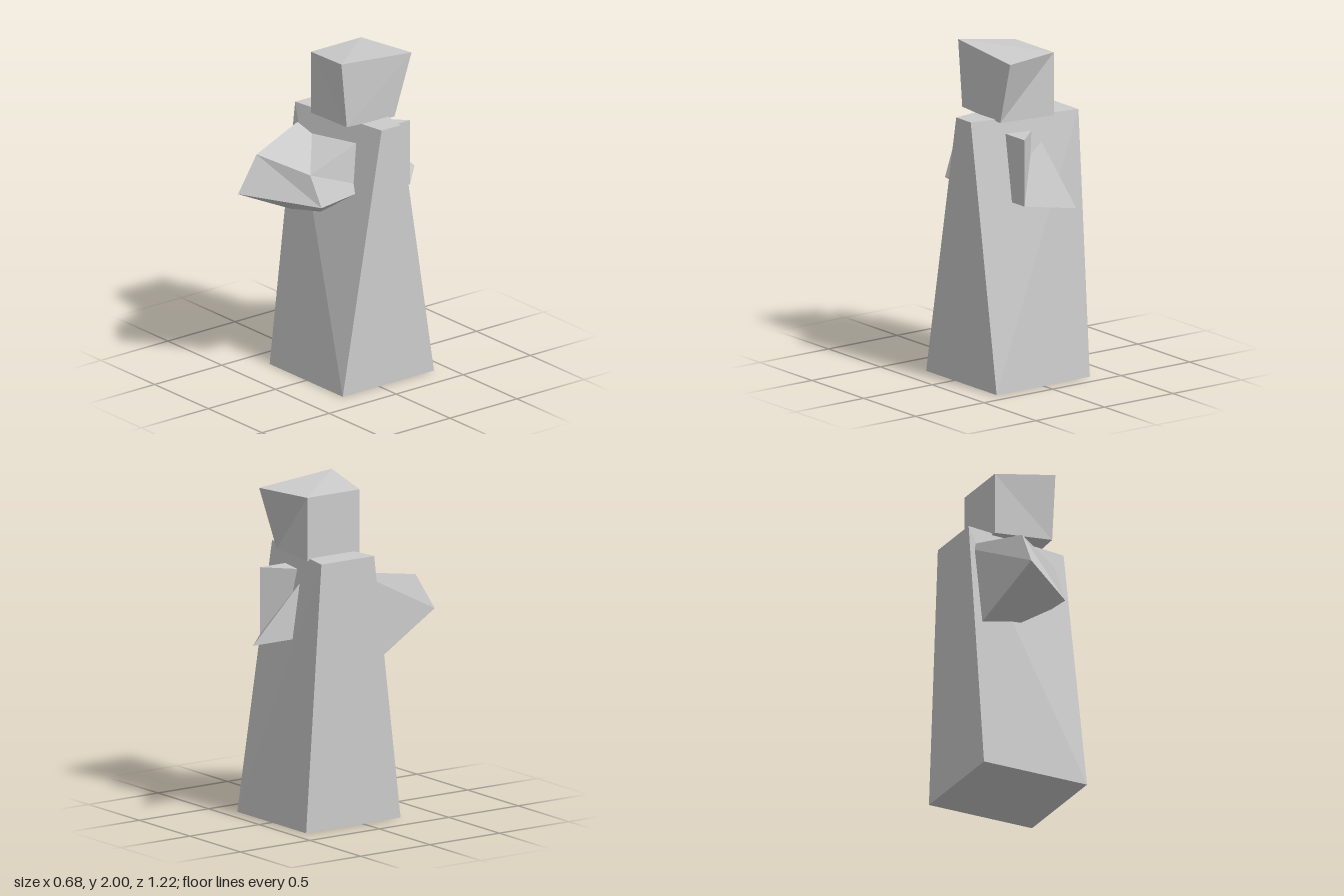
import * as THREE from 'three';

// Faceted block from eight corners: front TL, TR, BR, BL (seen from +z), then the four behind them.
// Each quad is split along its first and third corner.
function block(name, corners, flipRight = false) {
  const quads = [
    [0, 3, 2, 1], // front
    [4, 5, 6, 7], // back
    [1, 5, 4, 0], // top
    [7, 6, 2, 3], // bottom
    flipRight ? [5, 1, 2, 6] : [1, 2, 6, 5], // +x side
    [4, 7, 3, 0], // -x side
  ];
  const positions = [];
  for (const [a, b, c, d] of quads) {
    for (const i of [a, b, c, a, c, d]) positions.push(...corners[i]);
  }
  const geometry = new THREE.BufferGeometry();
  geometry.setAttribute('position', new THREE.Float32BufferAttribute(positions, 3));
  geometry.computeVertexNormals();
  const material = new THREE.MeshStandardMaterial({ color: 0xcccccc, flatShading: true });
  const mesh = new THREE.Mesh(geometry, material);
  mesh.name = name;
  return mesh;
}

export function createModel() {
  const group = new THREE.Group();
  group.name = 'figure';

  // Tapered robe-like body, its top narrower towards +x
  group.add(block('body', [
    [-0.34, 1.59, 0.08], [0.34, 1.59, -0.02], [0.34, 0, 0.27], [-0.34, 0, 0.27],
    [-0.34, 1.59, -0.3], [0.34, 1.59, -0.16], [0.34, 0, -0.41], [-0.34, 0, -0.41],
  ]));

  // Skewed head, wider at the top
  group.add(block('head', [
    [-0.175, 1.955, 0.095], [0.19, 2, 0.16], [0.19, 1.6, 0.12], [-0.175, 1.576, 0.095],
    [-0.175, 1.955, -0.28], [0.2, 1.955, -0.355], [0.185, 1.578, -0.24], [-0.175, 1.576, -0.28],
  ], true));

  // Folded arms jutting from the chest
  group.add(block('foldedArms', [
    [-0.2, 1.4, 0.48], [0.1, 1.32, 0.32], [0.18, 1.135, 0.3], [-0.21, 1.18, 0.61],
    [-0.338, 1.51, -0.05], [0.18, 1.51, -0.05], [0.225, 1.2, -0.04], [-0.335, 0.83, -0.1],
  ]));

  // Pointed pack on the back
  group.add(block('backPack', [
    [-0.09, 1.5, -0.1], [0.13, 1.5, -0.1], [0.13, 1.1, -0.1], [-0.09, 1.1, -0.1],
    [-0.09, 1.5, -0.2], [0.13, 1.5, -0.4], [0.13, 1.1, -0.4], [-0.09, 1.1, -0.61],
  ]));

  return group;
}
